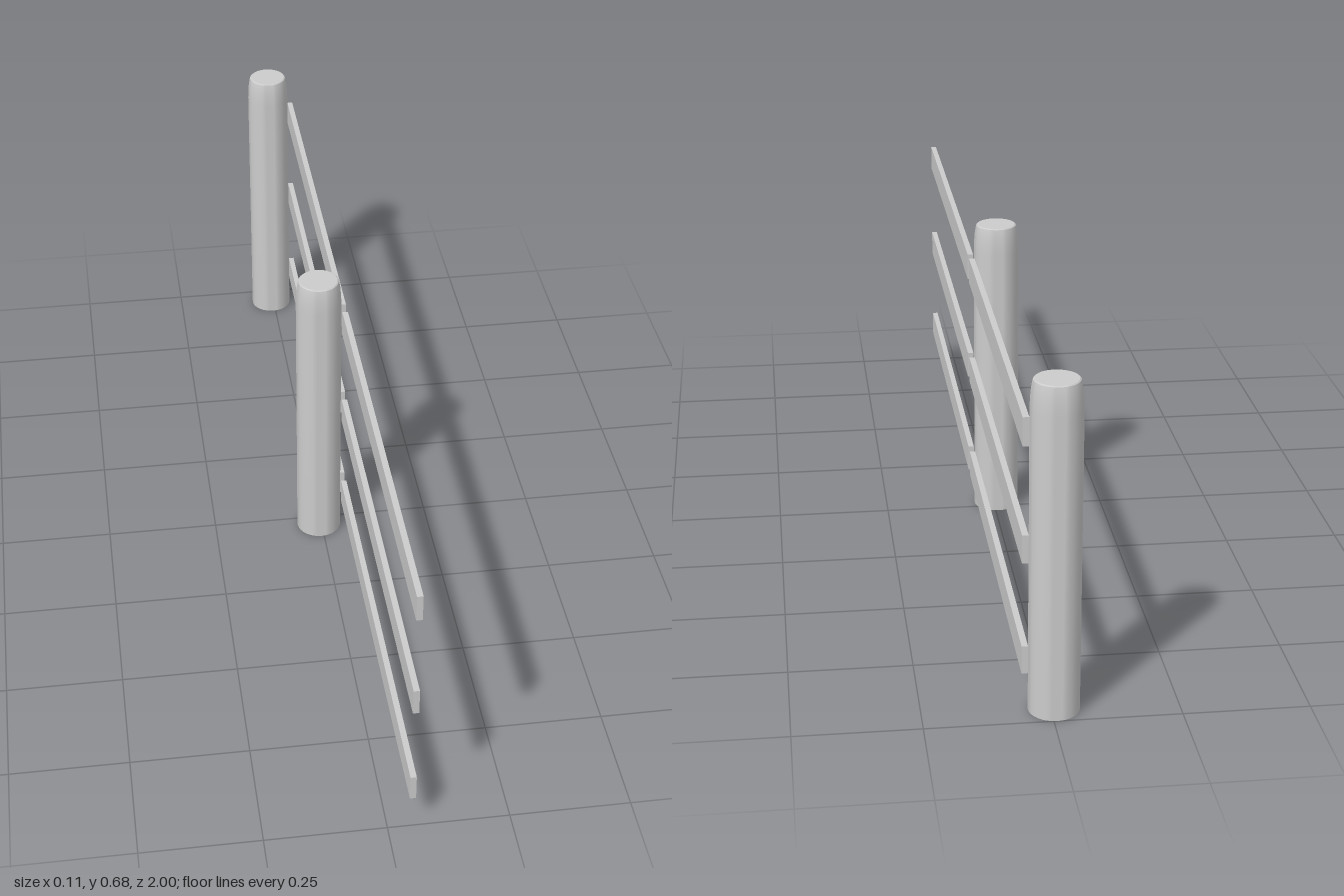
import * as THREE from 'three';
import { toCreasedNormals } from 'three/addons/utils/BufferGeometryUtils.js';

export function createModel() {
  const model = new THREE.Group();
  model.name = 'railFence';
  const material = new THREE.MeshStandardMaterial({ color: 0xcccccc });

  // Round posts with a softly tapered, flat-cut top
  const profile = [
    [0, 0], [0.0505, 0], [0.0505, 0.622], [0.0498, 0.642], [0.0482, 0.66],
    [0.046, 0.674], [0.0445, 0.68], [0.042, 0.682], [0, 0.682],
  ].map(([r, y]) => new THREE.Vector2(r, y));
  const postGeometry = toCreasedNormals(new THREE.LatheGeometry(profile, 32), 0.6);
  const posts = { middlePost: 0.023, endPost: -0.9495 };
  for (const [name, z] of Object.entries(posts)) {
    const post = new THREE.Mesh(postGeometry, material);
    post.name = name;
    post.position.set(-0.0065, 0, z);
    model.add(post);
  }

  // Two bays of three flat rails, fixed to the +x side of the posts
  const railLength = 0.958;
  const railGeometry = new THREE.BoxGeometry(0.0125, 0.058, railLength);
  const bays = { front: 1 - railLength / 2, back: 0.0115 - railLength / 2 };
  const heights = { Lower: 0.106, Middle: 0.339, Upper: 0.577 };
  for (const [bay, z] of Object.entries(bays)) {
    for (const [level, y] of Object.entries(heights)) {
      const rail = new THREE.Mesh(railGeometry, material);
      rail.name = `${bay}${level}Rail`;
      rail.position.set(0.05, y, z);
      model.add(rail);
    }
  }
  return model;
}
